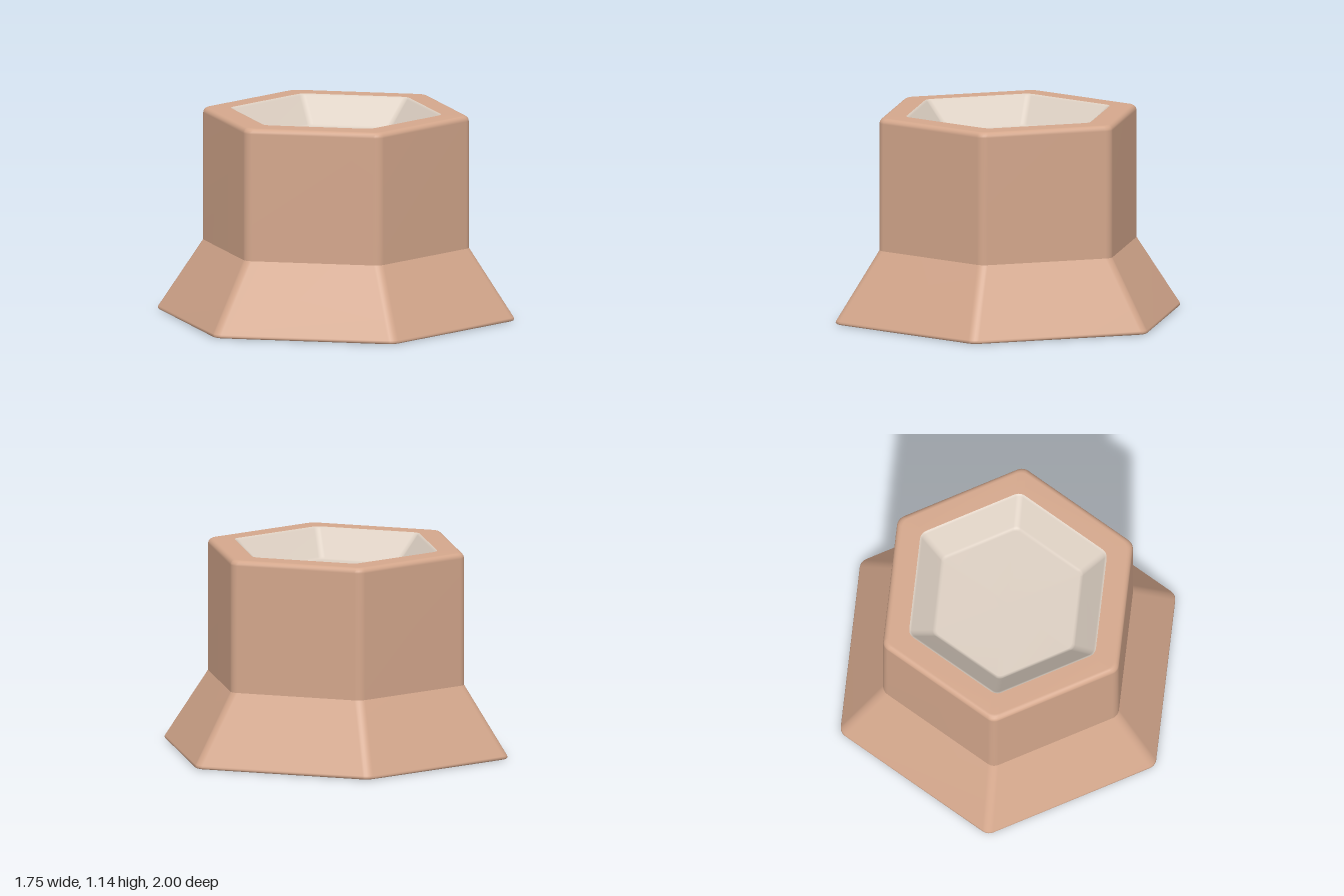
import * as THREE from 'three';

const ARC = 5; // steps around each rounded corner

// Hexagon outline with rounded corners, corners pointing along z.
// a is the distance from the centre to a flat side, c the corner radius.
function hexRing(a, y, c) {
  const points = [];
  const centre = (a - c) * 2 / Math.sqrt(3);
  for (let k = 0; k < 6; k++) {
    const corner = Math.PI / 2 + k * Math.PI / 3;
    for (let i = 0; i <= ARC; i++) {
      const t = corner + (i / ARC - 0.5) * Math.PI / 3;
      points.push([
        centre * Math.cos(corner) + c * Math.cos(t),
        y,
        centre * Math.sin(corner) + c * Math.sin(t),
      ]);
    }
  }
  return points;
}

// Skin through hexagon rings given as [flat distance, height]
function hexLoft(profile, cornerRadius) {
  const n = 6 * (ARC + 1);
  const positions = [], index = [];
  profile.forEach(([a, y], j) => {
    hexRing(a, y, Math.min(cornerRadius, a)).forEach((p) => positions.push(...p));
    if (j === 0) return;
    for (let i = 0; i < n; i++) {
      const k = (i + 1) % n, lo = (j - 1) * n, hi = j * n;
      index.push(lo + i, hi + i, lo + k, lo + k, hi + i, hi + k);
    }
  });
  const geometry = new THREE.BufferGeometry();
  geometry.setAttribute('position', new THREE.Float32BufferAttribute(positions, 3));
  geometry.setIndex(index);
  geometry.computeVertexNormals();
  return geometry;
}

// Quarter-round points from the side of an edge over to its top
function topFillet(a, y, r, steps = 4) {
  return Array.from({ length: steps + 1 }, (_, i) => {
    const t = (i / steps) * Math.PI / 2;
    return [a - r + r * Math.cos(t), y - r + r * Math.sin(t)];
  });
}

export function createModel() {
  const model = new THREE.Group();
  const tan = new THREE.MeshStandardMaterial({ color: 0xd4a78c });
  const cream = new THREE.MeshStandardMaterial({ color: 0xdccfc2 });

  const add = (name, profile, cornerRadius, material) => {
    const mesh = new THREE.Mesh(hexLoft(profile, cornerRadius), material);
    mesh.name = name;
    model.add(mesh);
  };

  // Flared foot with a closed underside and a thin rounded lip
  add('flaredFoot', [
    [0, 0], [0.862, 0], [0.871, 0.003], [0.875, 0.01], [0.872, 0.02], [0.654, 0.4],
  ], 0.06, tan);

  // Straight upper body with a rounded top edge and a flat rim
  add('upperBody', [
    [0.654, 0.4], ...topFillet(0.654, 1.14, 0.03), [0.518, 1.14],
  ], 0.06, tan);

  // Shallow recess with sloping walls and a flat floor
  add('recess', [
    [0.518, 1.14], [0.511, 1.137], [0.505, 1.13],
    [0.396, 0.995], [0.388, 0.986], [0.375, 0.98], [0, 0.98],
  ], 0.04, cream);

  return model;
}
